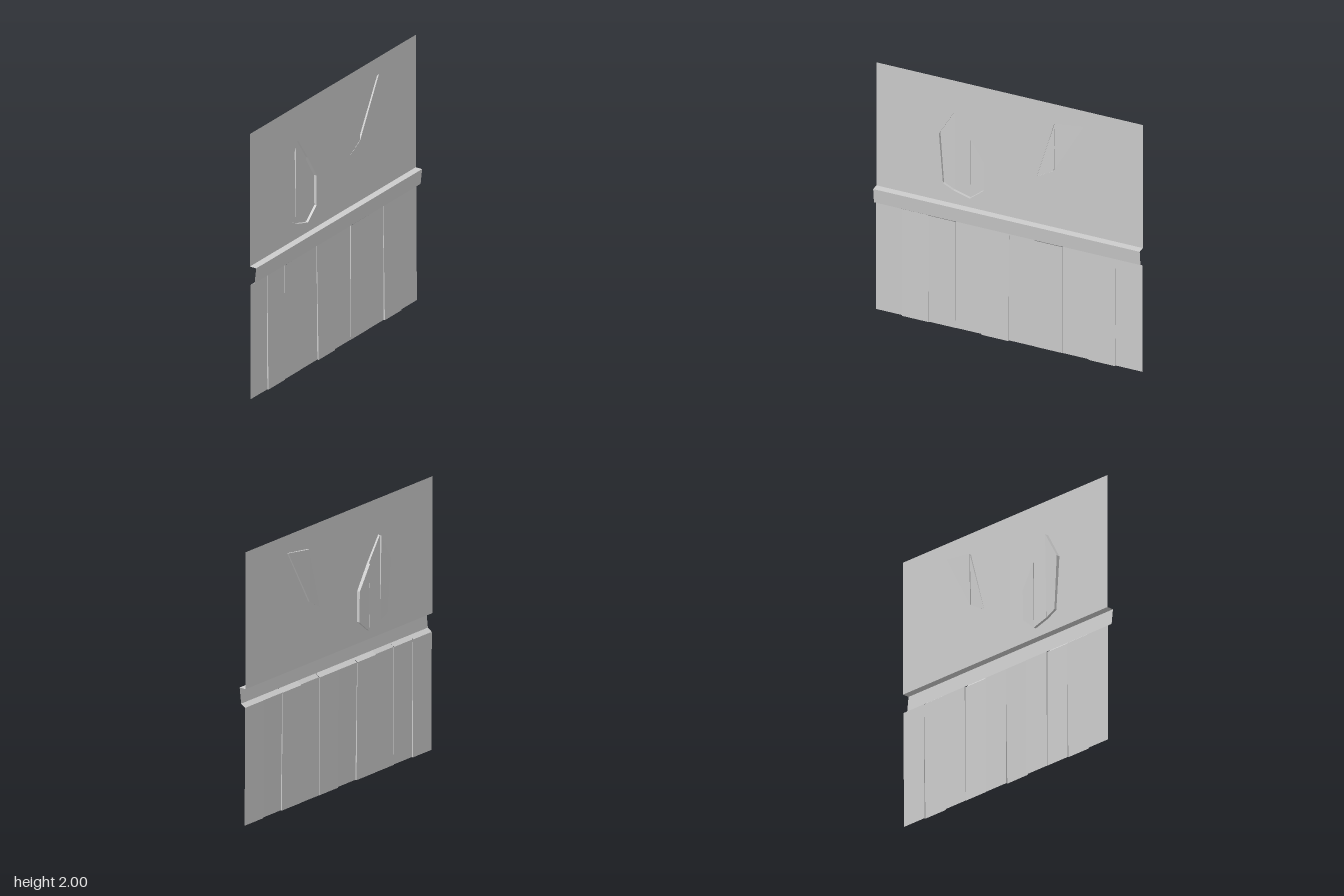
import * as THREE from 'three';

const PANEL_X = -0.015;
const mat = new THREE.MeshStandardMaterial({ color: 0xcccccc, flatShading: true, side: THREE.DoubleSide });

// Convex polygons (corners as [x, y, z]) joined into one faceted mesh
function facets(name, polys) {
  const pos = [];
  for (const p of polys)
    for (let i = 1; i < p.length - 1; i++) pos.push(...p[0], ...p[i], ...p[i + 1]);
  const geo = new THREE.BufferGeometry();
  geo.setAttribute('position', new THREE.Float32BufferAttribute(pos, 3));
  geo.computeVertexNormals();
  const mesh = new THREE.Mesh(geo, mat);
  mesh.name = name;
  return mesh;
}

// Recess made of strips; corners are [z, y, x]. Edges shared by two strips
// become steps between them, all others become rim walls up to the panel.
function recess(name, strips) {
  const polys = [];
  const edges = new Map();
  for (const s of strips) {
    polys.push(s.map(([z, y, x]) => [x, y, z]));
    s.forEach((a, i) => {
      const b = s[(i + 1) % s.length];
      const key = [a, b].map(([z, y]) => z + ',' + y).sort().join('|');
      const e = edges.get(key);
      if (e) e.other = [b[2], a[2]];
      else edges.set(key, { a, b, other: [PANEL_X, PANEL_X] });
    });
  }
  for (const { a, b, other } of edges.values())
    polys.push([[a[2], a[1], a[0]], [other[0], a[1], a[0]], [other[1], b[1], b[0]], [b[2], b[1], b[0]]]);
  return facets(name, polys);
}

export function createModel() {
  const group = new THREE.Group();

  // Plaster panel with two broken-out holes, drawn in (-z, y)
  const largeHole = [[0.42, 1.735], [0.53, 1.54], [0.5, 1.145], [0.42, 1.105], [0.3, 1.07], [0.195, 1.16], [0.195, 1.385], [0.3, 1.56]];
  const smallHole = [[-0.205, 1.38], [-0.335, 1.84], [-0.555, 1.87], [-0.33, 1.455]];
  const toPoints = (list) => list.map(([z, y]) => new THREE.Vector2(-z, y));
  const shape = new THREE.Shape(toPoints([[1, 1], [-1, 1], [-1, 2], [1, 2]]));
  for (const h of [largeHole, smallHole]) shape.holes.push(new THREE.Path(toPoints(h)));
  const panel = new THREE.Mesh(new THREE.ShapeGeometry(shape).rotateY(Math.PI / 2).translate(PANEL_X, 0, 0), mat);
  panel.name = 'upperPanel';
  group.add(panel);

  // Large recess: three boards, each with its own tilt in depth
  const L = largeHole;
  const tilt = (pts, top, bottom) =>
    pts.map(([z, y]) => [z, y, THREE.MathUtils.mapLinear(y, 1.735, 1.07, top, bottom)]);
  group.add(recess('largeRecess', [
    tilt([L[0], L[1], L[2], L[3]], -0.045, -0.032),
    tilt([L[0], L[3], L[4], L[7]], -0.03, -0.035),
    tilt([L[7], L[4], L[5], L[6]], -0.046, -0.033),
  ]));

  // Small recess: one board rising to the panel, one deeper board
  const [s0, s1, s2, s3] = smallHole;
  group.add(recess('smallRecess', [
    [[...s0, -0.016], [...s3, -0.018], [...s1, -0.027]],
    [[...s1, -0.031], [...s3, -0.029], [...s2, -0.026]],
  ]));

  // Rail: flat top and slightly inward-leaning face
  group.add(facets('rail', [
    [[PANEL_X, 1, 1], [0.038, 1, 1], [0.038, 1, -1], [PANEL_X, 1, -1]],
    [[0.038, 1, 1], [0.025, 0.885, 1], [0.025, 0.885, -1], [0.038, 1, -1]],
  ]));

  // Lower boards: depth of each at its top and bottom, from the front (+z) back
  const boards = [
    [-0.01, -0.008], [-0.007, 0.002], [-0.003, -0.004], [-0.013, -0.006], [-0.01, 0.005],
    [-0.01, -0.006], [-0.002, -0.004], [-0.012, -0.006], [-0.009, 0.004], [-0.011, -0.006],
  ];
  const TOP = 0.862;
  const faces = [], steps = [], underside = [];
  boards.forEach(([t, b], i) => {
    const z0 = 1 - i * 0.2, z1 = z0 - 0.2;
    faces.push([[t, TOP, z0], [b, 0, z0], [b, 0, z1], [t, TOP, z1]]);
    underside.push([[0.025, 0.885, z0], [t, TOP, z0], [t, TOP, z1], [0.025, 0.885, z1]]);
    if (i < boards.length - 1) {
      const [t2, b2] = boards[i + 1];
      steps.push([[t, TOP, z1], [b, 0, z1], [b2, 0, z1], [t2, TOP, z1]]);
    }
  });
  group.add(facets('lowerBoards', faces), facets('boardSteps', steps), facets('railUnderside', underside));

  return group;
}
